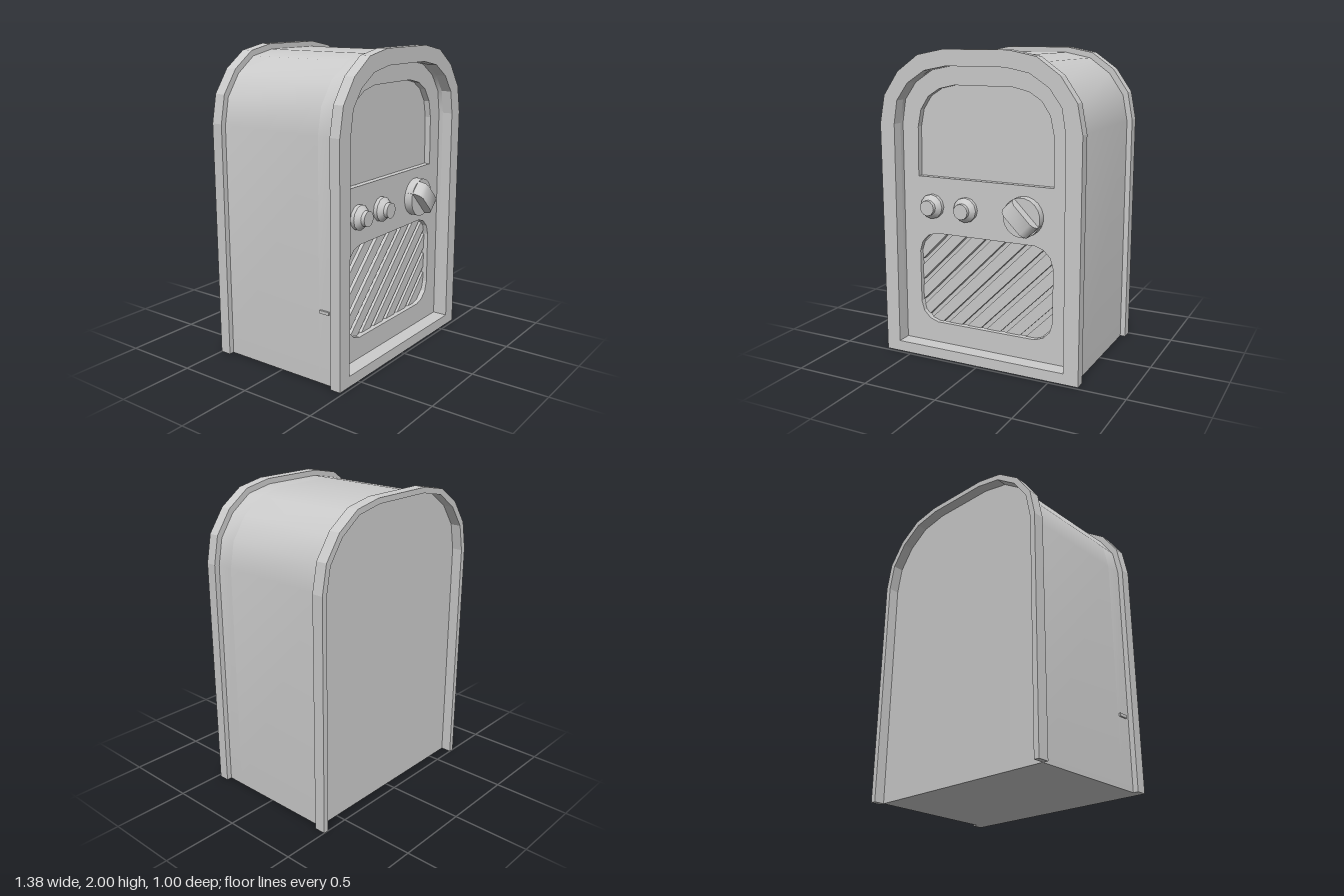
import * as THREE from 'three';
import { toCreasedNormals } from 'three/addons/utils/BufferGeometryUtils.js';

const material = new THREE.MeshStandardMaterial({ color: 0xcccccc });

// Right halves of symmetrical outlines, listed from the bottom upwards
const rimOutline = [[0.69, 0], [0.69, 1.53], [0.655, 1.71], [0.55, 1.86], [0.4, 1.965], [0.22, 2]];
const bodyOutline = [[0.655, 0], [0.655, 1.52], [0.622, 1.69], [0.525, 1.83], [0.385, 1.93], [0.21, 1.965]];
const panelOutline = [[0.592, 0.07], [0.585, 1.53], [0.56, 1.68], [0.48, 1.79], [0.355, 1.87], [0.2, 1.9]];
const windowOutline = [[0.475, 1.19], [0.47, 1.51], [0.447, 1.62], [0.39, 1.705], [0.31, 1.755], [0.2, 1.78]];
const grilleOutline = [[0.35, 0.21], [0.41, 0.23], [0.455, 0.275], [0.475, 0.34],
  [0.475, 0.69], [0.455, 0.755], [0.41, 0.8], [0.35, 0.82]];

// Full closed outline from its right half
function mirrored(half) {
  const left = half.map(([x, y]) => [-x, y]).reverse();
  return [...half, ...left].map(([x, y]) => new THREE.Vector2(x, y));
}

function add(parent, name, geometry) {
  const mesh = new THREE.Mesh(geometry, material);
  mesh.name = name;
  parent.add(mesh);
  return mesh;
}

// Slab between two depths, with optional openings
function slab(points, z0, z1, holes = [], crease = 0.1) {
  const shape = new THREE.Shape(points);
  holes.forEach((h) => shape.holes.push(new THREE.Path(h)));
  const geometry = new THREE.ExtrudeGeometry(shape, { depth: z1 - z0, bevelEnabled: false });
  geometry.translate(0, 0, z0);
  return toCreasedNormals(geometry, crease);
}

// Turned part pointing towards the front
function turned(profile, sides) {
  const geometry = new THREE.LatheGeometry(profile.map(([r, h]) => new THREE.Vector2(r, h)), sides);
  geometry.rotateX(Math.PI / 2);
  return toCreasedNormals(geometry, 0.6);
}

export function createModel() {
  const model = new THREE.Group();
  model.name = 'archedCabinet';
  const panelZ = 0.38;

  // Cabinet: solid arch with a hollow front collar
  const opening = mirrored(panelOutline);
  add(model, 'cabinetBody', slab(mirrored(bodyOutline), -0.43, 0.3, [], 0.6));
  add(model, 'cabinetCollar', slab(mirrored(bodyOutline), 0.3, 0.41, [opening], 0.6));

  // Raised rims; the rear one is open at the bottom
  add(model, 'frontRim', slab(mirrored(rimOutline), 0.41, 0.48, [opening]));
  const arch = [...mirrored(rimOutline), ...mirrored(bodyOutline).reverse()];
  add(model, 'backRim', slab(arch, -0.5, -0.425));

  // Recessed front panel with the window and grille openings
  add(model, 'frontPanel', slab(opening, 0.34, panelZ, [mirrored(windowOutline), mirrored(grilleOutline)]));
  const windowPane = add(model, 'windowPane', new THREE.BoxGeometry(1, 0.65, 0.035));
  windowPane.position.set(0, 1.48, 0.3175);

  // Diagonal grille slats, each cut to the length of its chord
  const grille = new THREE.Group();
  grille.name = 'speakerGrille';
  grille.position.set(0, 0.515, 0.325);
  model.add(grille);
  for (let i = 0; i < 10; i++) {
    const a = (-0.45 + i * 0.1) / Math.SQRT2;
    const t0 = Math.max(-0.48 - a, -0.31 + a);
    const t1 = Math.min(0.48 - a, 0.31 + a);
    const mid = (t0 + t1) / 2;
    const slat = add(grille, 'grilleSlat', new THREE.BoxGeometry((t1 - t0) * Math.SQRT2 + 0.07, 0.07, 0.05));
    slat.position.set(a + mid, mid - a, 0);
    slat.rotation.z = Math.PI / 4;
  }

  // Two small stepped buttons
  const button = turned([[0.08, 0], [0.08, 0.025], [0.05, 0.055], [0.05, 0.08], [0, 0.08]], 12);
  for (const x of [-0.37, -0.125]) {
    add(model, 'smallKnob', button).position.set(x, 1, panelZ);
  }

  // Large dial with a diagonal grip that slopes at its ends
  const dial = new THREE.Group();
  dial.name = 'largeDial';
  dial.position.set(0.285, 1, panelZ);
  dial.rotation.z = -Math.PI / 4;
  model.add(dial);
  add(dial, 'dialDisc', turned([[0.125, 0], [0.125, 0.055], [0, 0.055]], 20));
  const gripProfile = mirrored([[0.115, 0.02], [0.115, 0.075], [0.1, 0.105], [0.075, 0.12]]);
  const grip = slab(gripProfile, -0.05, 0.05, [], 0.7);
  grip.rotateX(Math.PI / 2);
  add(dial, 'dialGrip', grip);

  // Small tab on the side wall
  add(model, 'sideTab', new THREE.BoxGeometry(0.03, 0.02, 0.065)).position.set(-0.652, 0.47, 0.345);

  return model;
}
